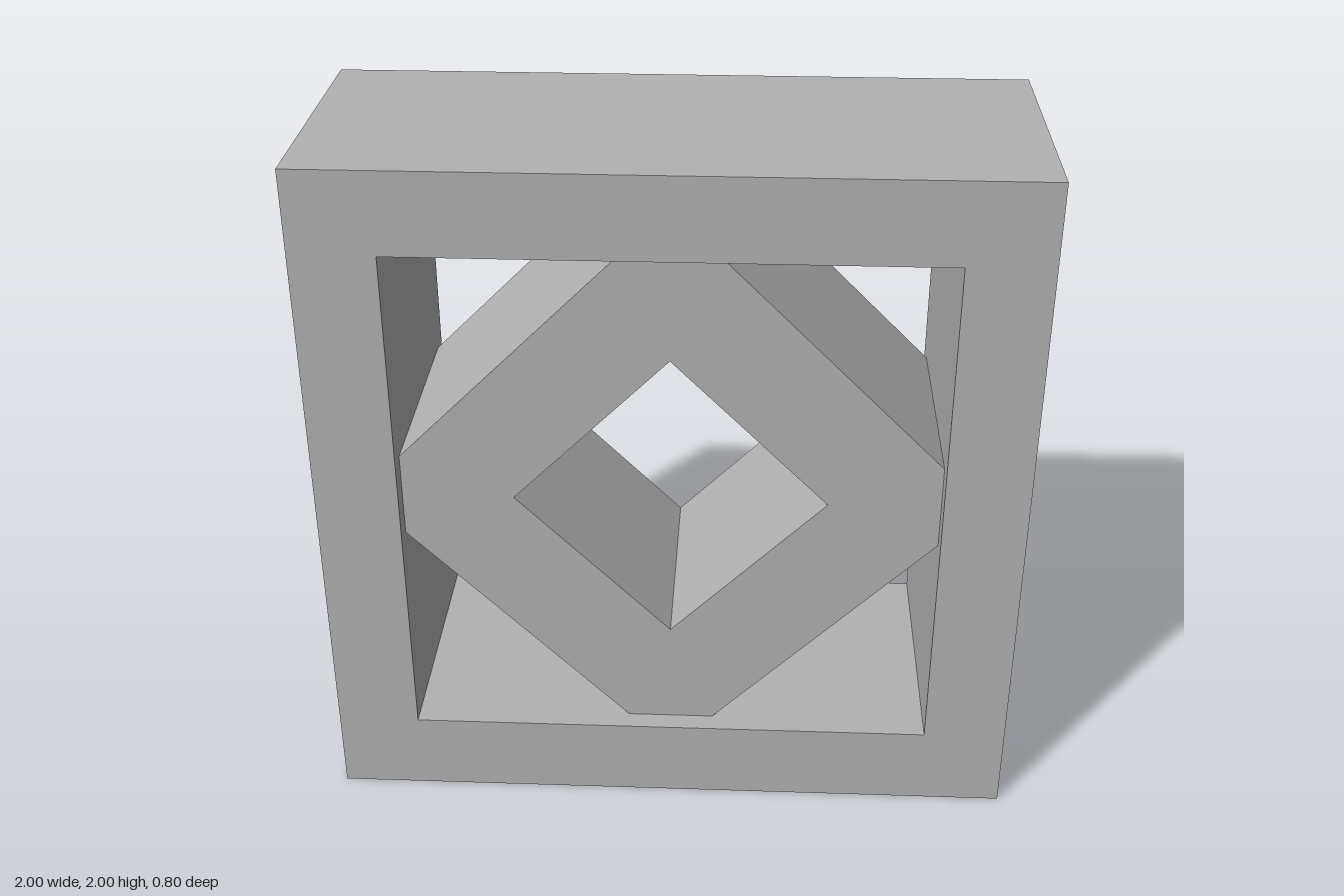
import * as THREE from 'three';

// Square ring with a square hole, extruded and centred on z = 0
function squareRing(name, outer, inner, depth, material) {
  const square = (path, r) => path.moveTo(-r, -r).lineTo(r, -r).lineTo(r, r).lineTo(-r, r).closePath();
  const shape = square(new THREE.Shape(), outer);
  shape.holes.push(square(new THREE.Path(), inner));
  const geometry = new THREE.ExtrudeGeometry(shape, { depth, bevelEnabled: false });
  geometry.translate(0, 0, -depth / 2);
  const mesh = new THREE.Mesh(geometry, material);
  mesh.name = name;
  mesh.position.y = 1;
  return mesh;
}

export function createModel() {
  const grey = new THREE.MeshStandardMaterial({ color: 0xb2b2b2 });
  grey.name = 'grey';

  const model = new THREE.Group();
  model.name = 'nestedFrames';

  // Upright outer frame
  model.add(squareRing('outerFrame', 1, 0.762, 0.8, grey));

  // Inner frame turned on its corner, its tips let into the outer frame
  const diamond = squareRing('diamondFrame', 0.628, 0.314, 0.68, grey);
  diamond.rotation.z = Math.PI / 4;
  model.add(diamond);

  return model;
}
